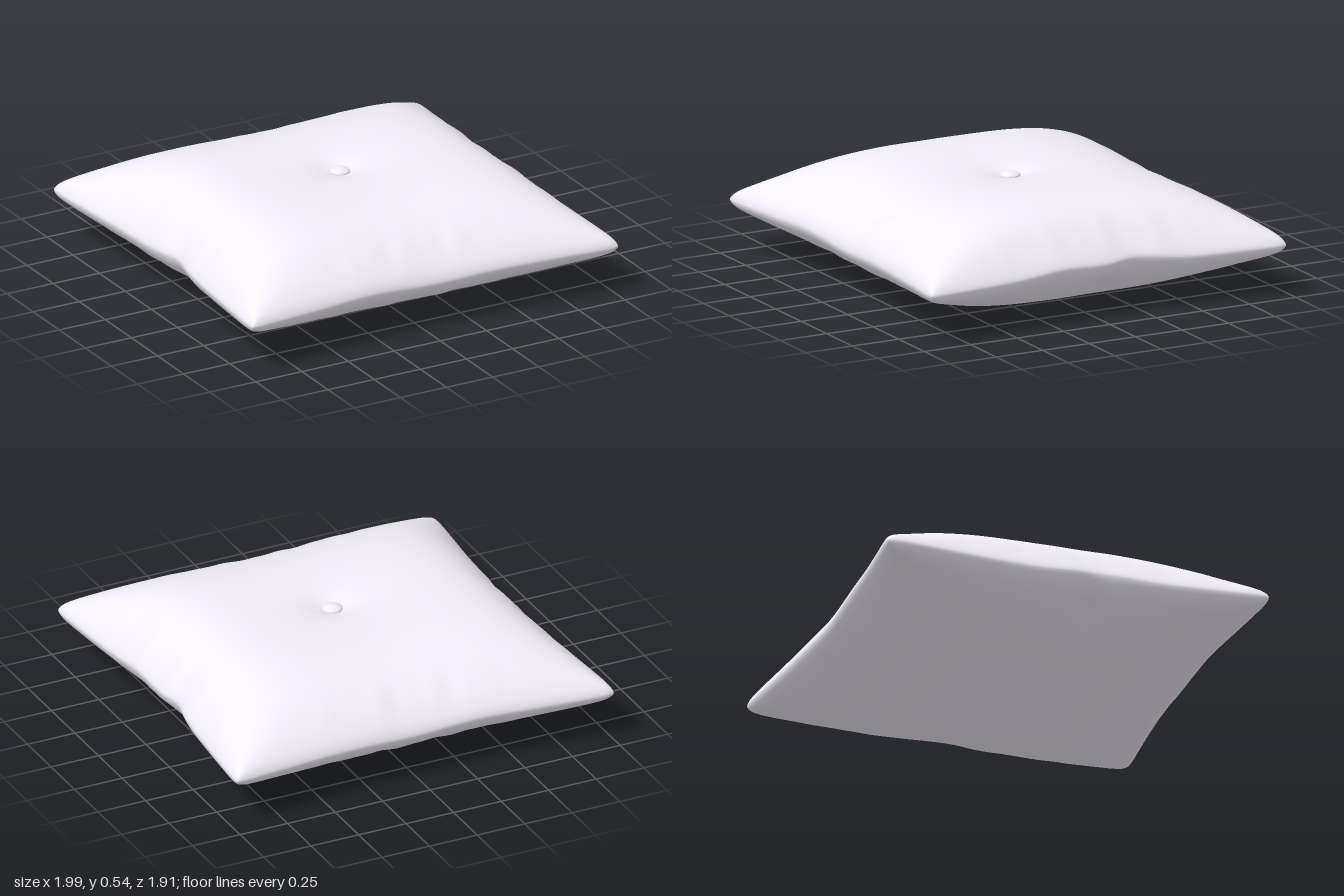
import * as THREE from 'three';

const SEAM = 0.26;
const bump = (t, centre, width) => Math.exp(-(((t - centre) / width) ** 2));
const pillow = (t, a, b) => Math.pow(Math.max(0, 1 - Math.abs(t) ** a), b);

// Joins the two cross-sections into one swell with soft hips at the corners
const swell = (a, b) => a * b / Math.max(1e-6, a + b - a * b);

// Rounded lip along the seam; the two panels' lips leave a groove between them
const lip = (u, v) => 0.03 * pillow(u, 40, 0.5) * pillow(v, 40, 0.5);

// Maps u, v in [-1, 1] to the pinched square plan, with seam height
function plan(u, v) {
  const round = 1 - 0.01 * Math.abs(u * v) ** 30;
  const pinchX = 0.06 * (1 - v * v) ** 1.5 + 0.018 * bump(v, u > 0 ? -0.18 : 0.12, 0.1);
  const pinchZ = 0.062 * (1 - u * u) ** 1.2;
  const x = u * round * (1 - pinchX * u * u);
  const z = v * round * (0.963 - pinchZ * v * v);
  // The seam wanders a little along each side
  const side = u > 0
    ? 0.028 * bump(v, -0.2, 0.18) + 0.022 * bump(v, 0.2, 0.2)
    : 0.02 * bump(v, 0.12, 0.2);
  const end = 0.008 * bump(u, -0.35, 0.2) - 0.01 * bump(u, 0.05, 0.2);
  return new THREE.Vector3(x, SEAM + side * Math.abs(u) ** 6 + end * v ** 6, z);
}

// Gathers running inwards from the middle of each side
function wrinkles(u, v) {
  const nearX = bump(Math.abs(u), 0.92, 0.09) * bump(v, 0, 0.6);
  const nearZ = bump(Math.abs(v), 0.88, 0.1) * bump(u, 0, 0.45);
  const wave = (t, k) => Math.sin(23 * t + k) + 0.6 * Math.sin(43 * t + 2 * k);
  return 0.005 * (nearX * wave(v, u * 2) + nearZ * wave(u, v * 3)) * pillow(u, 8, 1) * pillow(v, 8, 1);
}

function topHeight(u, v) {
  const saddle = 1 - 0.05 * bump(u, 0, 0.4);
  return lip(u, v)
    + 0.255 * swell(pillow(u, 6, 1.3), pillow(v, 3.5, 0.95)) * saddle
    - 0.02 * bump(Math.hypot(u, v), 0, 0.28)
    - 0.025 * bump(Math.hypot(u - 0.02, v), 0, 0.1)
    + wrinkles(u, v);
}

function bottomHeight(u, v) {
  // A deep fold lies under the pinch on each long side
  const fold = 0.035 * bump(Math.abs(u), 0.85, 0.12) * bump(v, u > 0 ? -0.05 : 0.12, 0.1);
  return -lip(u, v)
    - 0.23 * swell(pillow(u, 3.6, 0.95), pillow(v, 2.8, 0.95))
    + fold * pillow(u, 8, 1) + wrinkles(u, v);
}

// One cloth panel, with rows packed closer towards the seam
function panel(name, height, material, flip) {
  const geometry = new THREE.PlaneGeometry(2, 2, 130, 130);
  const p = geometry.attributes.position;
  for (let i = 0; i < p.count; i++) {
    const u = Math.sin(p.getX(i) * Math.PI / 2);
    const v = -Math.sin(p.getY(i) * Math.PI / 2);
    const q = plan(u, v);
    p.setXYZ(i, q.x, q.y + height(u, v), q.z);
  }
  if (flip) geometry.index.array.reverse();
  geometry.computeVertexNormals();
  const mesh = new THREE.Mesh(geometry, material);
  mesh.name = name;
  return mesh;
}

export function createModel() {
  const group = new THREE.Group();
  group.name = 'cushion';
  const material = new THREE.MeshStandardMaterial({ color: 0xf1edf8 });

  group.add(panel('topPanel', topHeight, material, false));
  group.add(panel('bottomPanel', bottomHeight, material, true));

  // Flattened button sitting in the central dimple
  const button = new THREE.Mesh(new THREE.SphereGeometry(0.05, 32, 16), material);
  button.name = 'button';
  button.scale.y = 0.4;
  button.position.set(0.02, SEAM + topHeight(0.02, 0) + 0.008, 0);
  group.add(button);

  return group;
}
